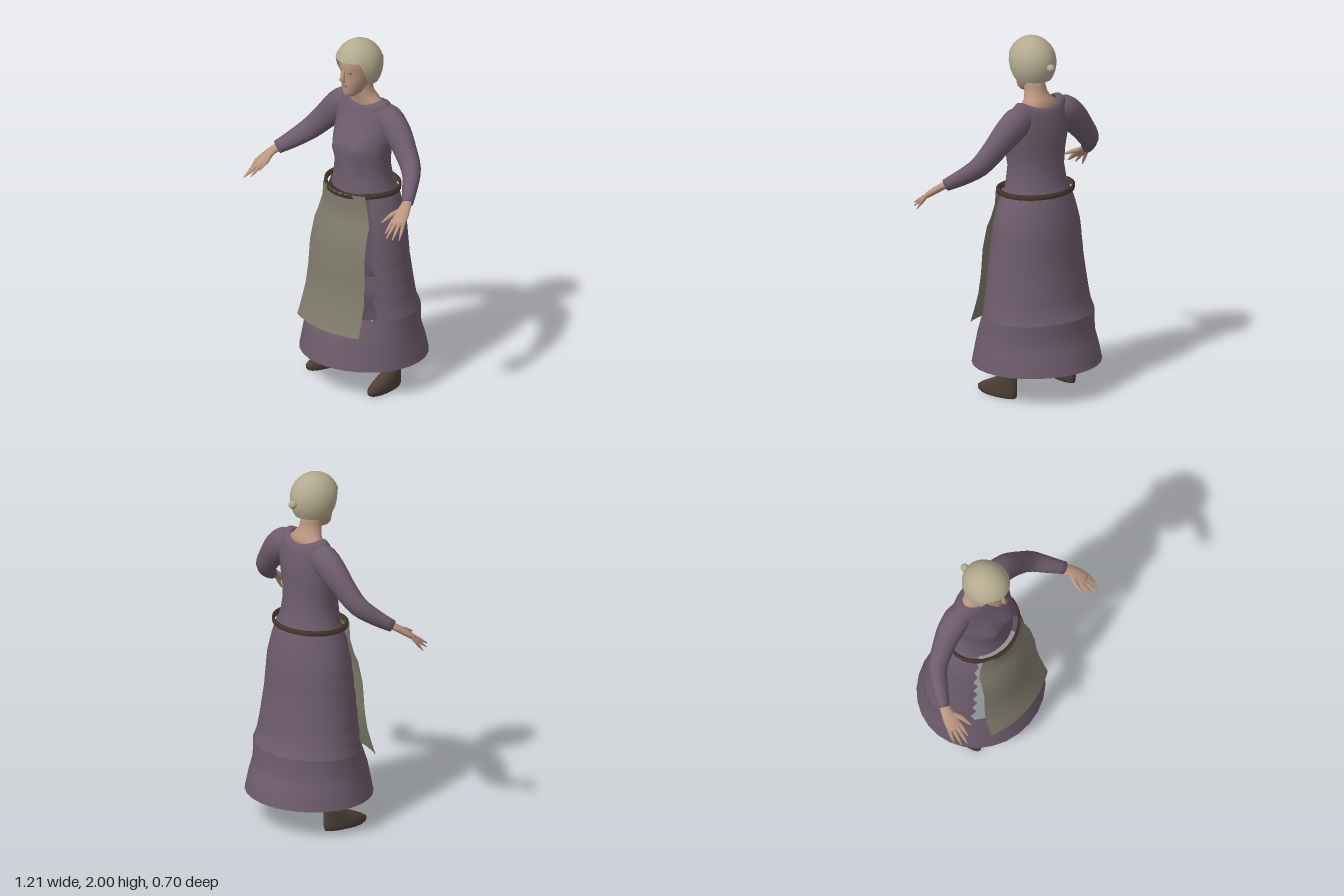
import * as THREE from 'three';

const mat = (name, color, side = THREE.FrontSide) => {
  const m = new THREE.MeshStandardMaterial({ color, side });
  m.name = name;
  return m;
};
const V = (x, y, z) => new THREE.Vector3(x, y, z);
const lerp = THREE.MathUtils.lerp;

// Skin a list of equally long point rows into a smooth surface.
function skin(rows, closed = true, caps = true) {
  const n = rows[0].length, pos = [], idx = [];
  rows.forEach(r => r.forEach(p => pos.push(p.x, p.y, p.z)));
  const cols = closed ? n : n - 1;
  for (let i = 0; i < rows.length - 1; i++) {
    for (let j = 0; j < cols; j++) {
      const k = (j + 1) % n, a = i * n + j, b = i * n + k;
      idx.push(a, b, a + n, b, b + n, a + n);
    }
  }
  if (closed && caps) {
    [0, rows.length - 1].forEach((r, end) => {
      const c = rows[r].reduce((s, p) => s.add(p), V(0, 0, 0)).divideScalar(n);
      const ci = pos.length / 3;
      pos.push(c.x, c.y, c.z);
      for (let j = 0; j < n; j++) {
        const a = r * n + j, b = r * n + (j + 1) % n;
        if (end) idx.push(ci, a, b); else idx.push(ci, b, a);
      }
    });
  }
  const g = new THREE.BufferGeometry();
  g.setAttribute('position', new THREE.Float32BufferAttribute(pos, 3));
  g.setIndex(idx);
  g.computeVertexNormals();
  return g;
}

// Horizontal oval from [y, half width, front z, back z]; gap leaves the front open.
function oval([y, rx, zf, zb], n = 28, gap = 0) {
  const row = [], cz = (zf + zb) / 2, rz = (zf - zb) / 2;
  for (let j = 0; j < (gap ? n + 1 : n); j++) {
    const a = gap + (j / n) * (Math.PI * 2 - gap * 2);
    row.push(V(rx * Math.sin(a), y, cz + rz * Math.cos(a)));
  }
  return row;
}

// Interpolate a table of [key, ...values] sorted by descending key.
function sample(table, y) {
  let i = 0;
  while (i < table.length - 2 && y < table[i + 1][0]) i++;
  const a = table[i], b = table[i + 1], t = (y - a[0]) / (b[0] - a[0]);
  return a.map((v, k) => lerp(v, b[k], t));
}

// Limb through centres with [radius along side, radius across].
function limb(points, radii, side, n = 14) {
  const rows = points.map((p, i) => {
    const t = points[Math.min(i + 1, points.length - 1)].clone()
      .sub(points[Math.max(i - 1, 0)]).normalize();
    const u = side.clone().addScaledVector(t, -side.dot(t)).normalize();
    const v = t.clone().cross(u), [ru, rv] = radii[i];
    return Array.from({ length: n }, (_, j) => {
      const a = (j / n) * Math.PI * 2;
      return p.clone().addScaledVector(u, ru * Math.cos(a)).addScaledVector(v, rv * Math.sin(a));
    });
  });
  return skin(rows);
}

export function createModel() {
  const root = new THREE.Group();
  const dress = mat('purple cloth', 0x6e5c6c, THREE.DoubleSide);
  const linen = mat('grey linen', 0x807c6d, THREE.DoubleSide);
  const hairMat = mat('pale hair', 0xb3aa8f, THREE.DoubleSide);
  const skinMat = mat('skin', 0xbb9680);
  const leather = mat('belt leather', 0x4a3a30, THREE.DoubleSide);
  const shoeMat = mat('shoe leather', 0x4c4037);
  const eyeMat = mat('eye brown', 0x4b3a32);
  const lipMat = mat('lips', 0x94695c);
  const add = (name, geo, m, parent = root) => {
    const mesh = new THREE.Mesh(geo, m);
    mesh.name = name;
    parent.add(mesh);
    return mesh;
  };

  // Skirt: full hem, and an upper part left open with ragged edges behind the apron
  const skirt = [
    [1.16, 0.19, 0.155, -0.18], [1.08, 0.222, 0.175, -0.2], [0.95, 0.258, 0.195, -0.222],
    [0.75, 0.28, 0.215, -0.235], [0.58, 0.302, 0.23, -0.26], [0.5, 0.315, 0.235, -0.275],
    [0.45, 0.328, 0.24, -0.298], [0.34, 0.335, 0.285, -0.305], [0.25, 0.352, 0.305, -0.335],
    [0.17, 0.365, 0.322, -0.355]];
  add('skirtHem', skin([0.17, 0.21, 0.25, 0.3, 0.34, 0.4, 0.45].map(y => oval(sample(skirt, y))), true, false), dress);
  const upper = [];
  for (let i = 0; i <= 14; i++) {
    upper.push(oval(sample(skirt, 0.45 + i * 0.71 / 14), 26, 0.87 + (i % 2) * 0.1));
  }
  add('skirtUpper', skin(upper, false), dress);

  // Bodice with soft bust and a neckline that rises towards the shoulders
  const bodice = [
    [1.14, 0.192, 0.145, -0.178], [1.2, 0.176, 0.138, -0.158], [1.28, 0.164, 0.132, -0.146],
    [1.36, 0.176, 0.132, -0.143], [1.41, 0.186, 0.122, -0.143], [1.46, 0.194, 0.104, -0.143],
    [1.52, 0.197, 0.08, -0.138], [1.57, 0.193, 0.06, -0.13], [1.605, 0.175, 0.047, -0.122],
    [1.625, 0.148, 0.038, -0.112], [1.62, 0.112, 0.03, -0.1]];
  const torso = bodice.map((r, i) => oval(r, 36).map(p => {
    if (p.z > 0) {
      const d = ((Math.abs(p.x) - 0.075) / 0.055) ** 2 + ((p.y - 1.385) / 0.055) ** 2;
      p.z += 0.03 * Math.exp(-d);
    }
    if (i > 7) p.y += 0.034 * (p.x / r[1]) ** 2;
    return p;
  }));
  add('bodice', skin(torso, true, false), dress);

  // Belt
  const belt = [[1.136, 0.212, 0.17, -0.19], [1.136, 0.226, 0.186, -0.2],
    [1.162, 0.226, 0.186, -0.2], [1.162, 0.212, 0.17, -0.19], [1.136, 0.212, 0.17, -0.19]];
  add('belt', skin(belt.map(r => oval(r, 32).map(p => {
    if (p.z > 0.1) p.y -= 0.012 * Math.cos(p.x * 8);
    return p;
  })), true, false), leather);

  // Apron: [y, half width, centre z]
  const apron = [[1.15, 0.165, 0.186], [1.06, 0.178, 0.18], [0.98, 0.2, 0.19], [0.93, 0.207, 0.212],
    [0.8, 0.215, 0.238], [0.65, 0.222, 0.245], [0.54, 0.23, 0.257], [0.44, 0.237, 0.285], [0.37, 0.241, 0.308]];
  add('apron', skin(apron.slice().reverse().map(([y, w, z]) => Array.from({ length: 13 }, (_, j) => {
    const s = j / 6 - 1;
    return V(s * w, y, z - 0.055 * s * s);
  })), false), linen);

  // Neck and upper chest
  add('neck', skin([[1.59, 0.125, 0.025, -0.1], [1.635, 0.112, 0.033, -0.098], [1.66, 0.085, 0.04, -0.088],
    [1.69, 0.065, 0.052, -0.07], [1.73, 0.056, 0.062, -0.06], [1.8, 0.056, 0.07, -0.06]].map(r => oval(r))), skinMat);

  // Head
  const head = new THREE.Group();
  head.name = 'head';
  root.add(head);
  add('face', skin([[1.688, 0.022, 0.112, 0.045], [1.7, 0.036, 0.127, 0.01], [1.72, 0.048, 0.13, -0.02],
    [1.75, 0.063, 0.132, -0.05], [1.79, 0.076, 0.136, -0.07], [1.83, 0.082, 0.13, -0.08],
    [1.855, 0.084, 0.139, -0.08], [1.9, 0.086, 0.138, -0.08], [1.94, 0.075, 0.115, -0.06]].map(r => oval(r))), skinMat, head);
  add('nose', limb([V(0, 1.855, 0.132), V(0, 1.82, 0.14), V(0, 1.796, 0.148), V(0, 1.78, 0.136)],
    [[0.007, 0.006], [0.01, 0.01], [0.016, 0.016], [0.01, 0.008]], V(1, 0, 0), 10), skinMat, head);
  const mouth = add('mouth', new THREE.SphereGeometry(1, 12, 6), lipMat, head);
  mouth.scale.set(0.024, 0.007, 0.004);
  mouth.position.set(0, 1.757, 0.129);

  // Hair: a dome whose lower edge is high over the face and low at sides and back
  const N = 48, hair = [];
  for (let i = 0; i <= 12; i++) {
    const row = [];
    for (let j = 0; j < N; j++) {
      const a = (j / N) * Math.PI * 2, f = Math.acos(Math.cos(a)) * 180 / Math.PI;
      const low = lerp(1.905, 1.765, THREE.MathUtils.smoothstep(f, 48, 84));
      const end = low > 1.86 ? Math.acos((low - 1.86) / 0.14) : Math.PI / 2 + Math.asin((1.86 - low) / 0.16);
      const t = lerp(end, 0.002, i / 12), r = Math.sin(t), c = Math.cos(t);
      row.push(V(0.125 * r * Math.sin(a), 1.86 + (c > 0 ? 0.14 : 0.16) * c, 0.022 + 0.14 * r * Math.cos(a)));
    }
    hair.push(row);
  }
  add('hair', skin(hair, true, false), hairMat, head);
  add('hairBun', new THREE.SphereGeometry(0.023, 14, 10), hairMat, head).position.set(0, 1.85, -0.13);

  for (const s of [1, -1]) {
    const side = s > 0 ? 'left' : 'right';
    const P = (x, y, z) => V(s * x, y, z);

    // Eye and brow
    const eye = add(side + 'Eye', new THREE.SphereGeometry(1, 10, 6), eyeMat, head);
    eye.scale.set(0.013, 0.005, 0.004);
    eye.position.set(s * 0.034, 1.835, 0.1195);
    eye.rotation.y = s * 0.35;

    // Sleeve
    const path = new THREE.CatmullRomCurve3([P(0.11, 1.565, -0.045), P(0.17, 1.555, -0.045), P(0.24, 1.505, -0.04),
      P(0.315, 1.43, -0.025), P(0.395, 1.345, 0.005), P(0.455, 1.285, 0.07), P(0.515, 1.232, 0.145)]);
    const sizes = [0.075, 0.089, 0.084, 0.071, 0.061, 0.05, 0.037];
    const pts = [], radii = [];
    for (let i = 0; i <= 18; i++) {
      const u = i / 3, k = Math.min(5, Math.floor(u)), r = lerp(sizes[k], sizes[k + 1], u - k);
      pts.push(path.getPoint(i / 18));
      radii.push([r * 0.82, r]);
    }
    add(side + 'Sleeve', limb(pts, radii, V(0, 0, 1), 18), dress);

    // Hand
    const hand = new THREE.Group();
    hand.name = side + 'Hand';
    root.add(hand);
    const W = P(-0.85, 0, 0.33).normalize();
    add('palm', limb([P(0.5, 1.245, 0.125), P(0.522, 1.222, 0.165), P(0.538, 1.19, 0.21), P(0.552, 1.16, 0.25), P(0.557, 1.15, 0.262)],
      [[0.025, 0.022], [0.031, 0.02], [0.042, 0.019], [0.043, 0.016], [0.036, 0.01]], W, 12), skinMat, hand);
    const tips = [[0.53, 1.108, 0.325], [0.563, 1.098, 0.348], [0.585, 1.088, 0.325], [0.6, 1.08, 0.288]];
    tips.forEach((t, i) => {
      const base = P(0.549, 1.167, 0.243).addScaledVector(W, 0.032 - i * 0.0213);
      const tip = P(...t);
      add('finger', limb([base, base.clone().lerp(tip, 0.55), tip],
        [[0.012, 0.012], [0.01, 0.009], [0.003, 0.003]], W, 8), skinMat, hand);
    });
    add('thumb', limb([P(0.52, 1.21, 0.185), P(0.493, 1.185, 0.245), P(0.483, 1.155, 0.308)],
      [[0.016, 0.014], [0.014, 0.012], [0.004, 0.004]], W, 8), skinMat, hand);

    // Shoe, toes turned slightly outward
    const shoe = [[0.004, 0.038, 0.16, -0.076], [0.016, 0.046, 0.178, -0.083], [0.04, 0.047, 0.182, -0.084],
      [0.062, 0.046, 0.15, -0.084], [0.09, 0.044, 0.09, -0.083], [0.118, 0.04, 0.03, -0.082], [0.132, 0.034, 0.005, -0.078]];
    add(side + 'Shoe', skin(shoe.map(r => oval(r, 18).map(p => {
      p.x += s * (0.222 + 0.12 * p.z);
      return p;
    }))), shoeMat);
  }
  return root;
}
